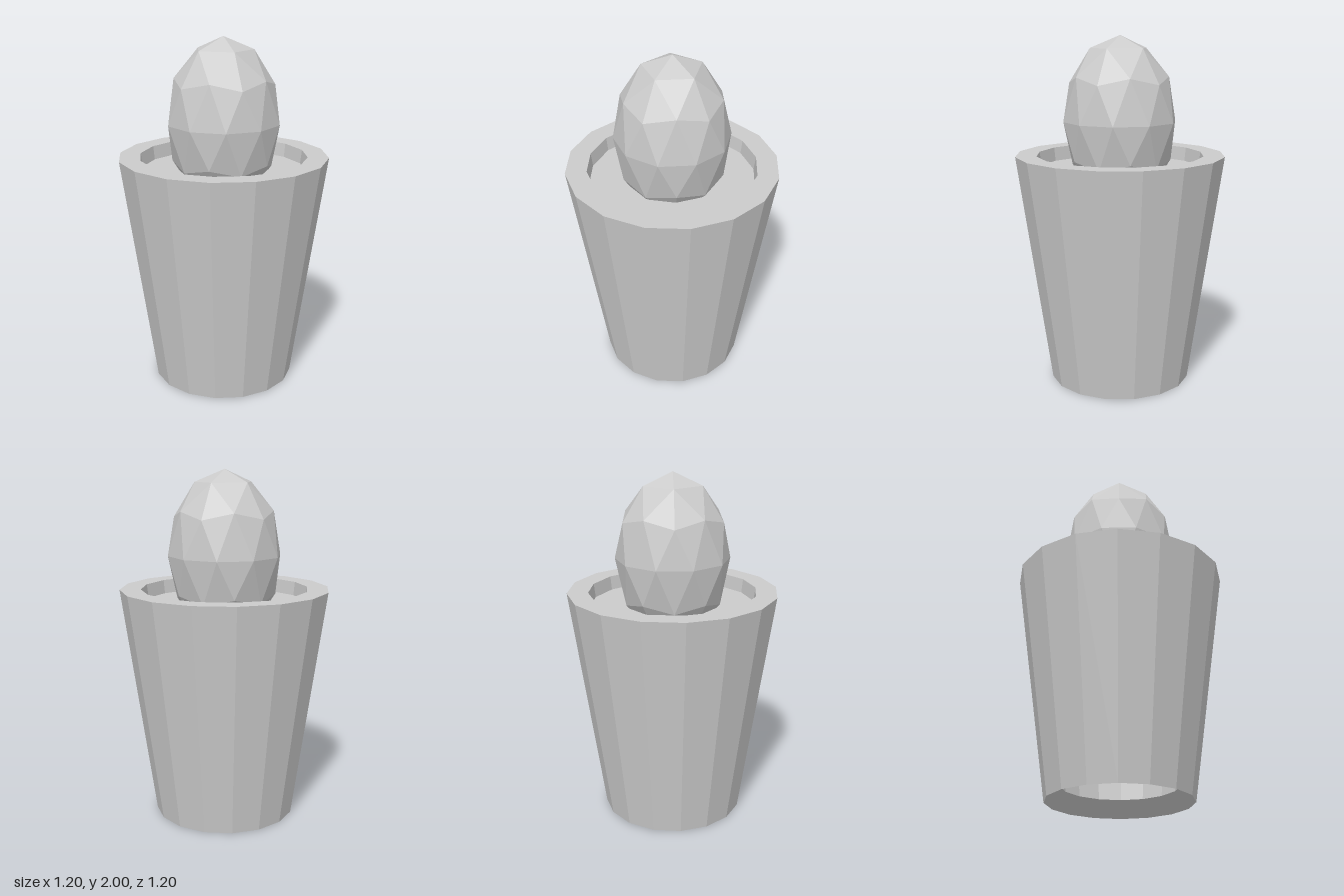
import * as THREE from 'three';

const SIDES = 16;

export function createModel() {
  const group = new THREE.Group();
  const material = new THREE.MeshStandardMaterial({ color: 0xcccccc, flatShading: true });
  const add = (name, geometry, mat = material) => {
    const mesh = new THREE.Mesh(geometry, mat);
    mesh.name = name;
    group.add(mesh);
    return mesh;
  };

  // Tapered pot: outer wall, flat rim, inner wall and sloped underside
  const profile = [
    [0.407, 0], [0.6, 1.33], [0.48, 1.33], [0.325, 0.09], [0.407, 0],
  ].map(([r, y]) => new THREE.Vector2(r, y));
  add('pot', new THREE.LatheGeometry(profile, SIDES));

  // Soil disc set just below the rim
  const soilMaterial = material.clone();
  soilMaterial.side = THREE.DoubleSide;
  const soil = add('soil', new THREE.CircleGeometry(0.47, SIDES).rotateX(-Math.PI / 2), soilMaterial);
  soil.position.y = 1.25;

  // Egg-shaped plant: faceted sphere turned to stand on a vertex, then stretched
  const plantGeometry = new THREE.IcosahedronGeometry(1, 1);
  plantGeometry.rotateZ(Math.atan(2 / (1 + Math.sqrt(5))));
  plantGeometry.scale(0.325, 0.48, 0.325);
  const plant = add('plant', plantGeometry);
  plant.position.y = 1.52;

  return group;
}
